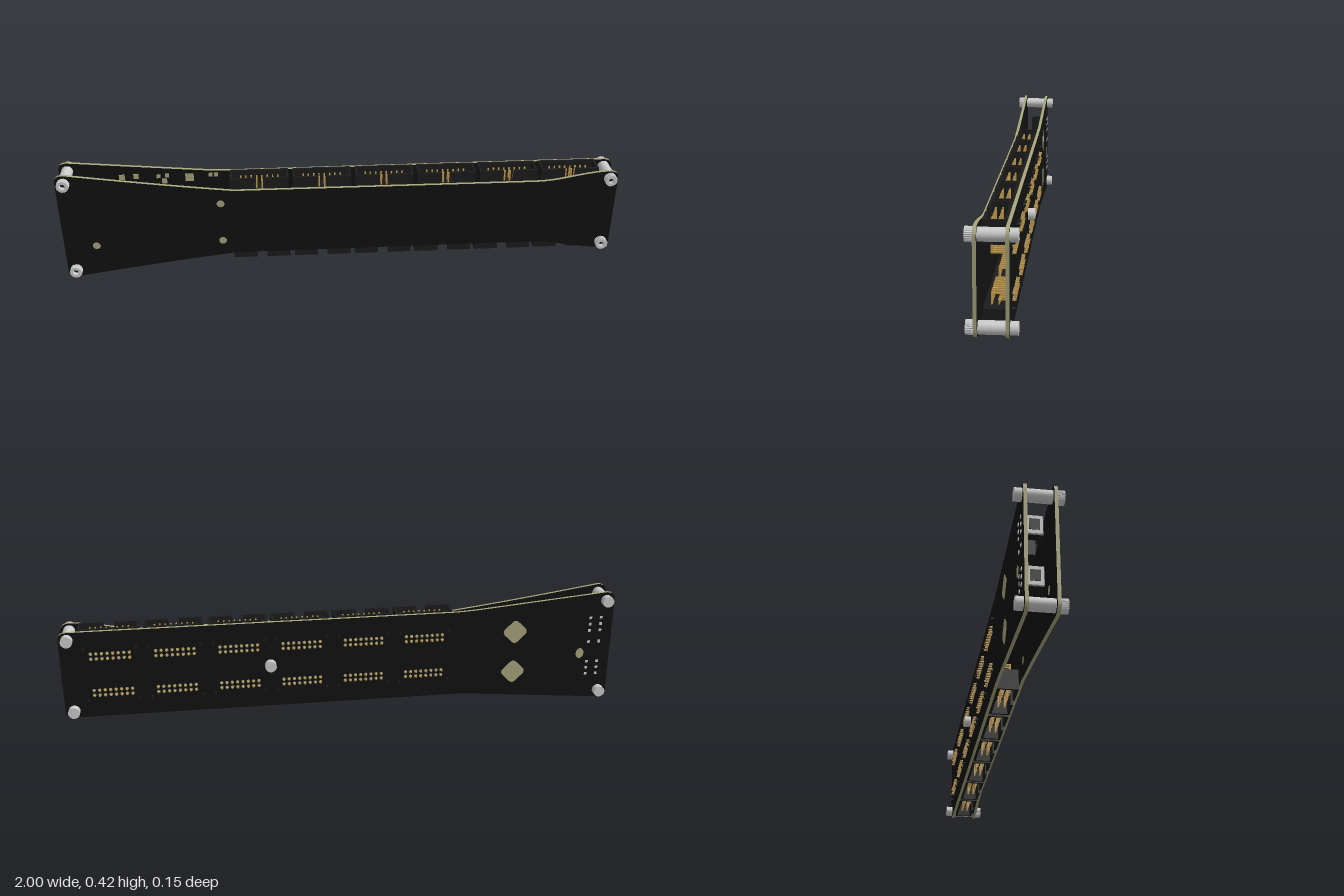
import * as THREE from 'three';

const C = 0.211; // height of the lengthwise centre line
const mat = (color) => new THREE.MeshStandardMaterial({ color });
const black = mat(0x111111), plastic = mat(0x1c1c1c), edge = mat(0xa8a67c);
const gold = mat(0xc8a050), pad = mat(0xa8a67c), grey = mat(0xcccccc);

function add(parent, name, geometry, material, x = 0, y = 0, z = 0) {
  const m = new THREE.Mesh(geometry, material);
  m.name = name;
  m.position.set(x, y, z);
  parent.add(m);
  return m;
}

// Box given by its limits on each axis
function box(parent, name, material, x0, x1, y0, y1, z0, z1) {
  return add(parent, name, new THREE.BoxGeometry(x1 - x0, y1 - y0, z1 - z0), material,
    (x0 + x1) / 2, (y0 + y1) / 2, (z0 + z1) / 2);
}

// Cylinder along z from z0 to z1
function rod(parent, name, material, r, z0, z1, x, y, sides = 24) {
  const g = new THREE.CylinderGeometry(r, r, z1 - z0, sides).rotateX(Math.PI / 2);
  return add(parent, name, g, material, x, y, (z0 + z1) / 2);
}

// Circuit board: the upper edge is sampled, then mirrored for the lower edge
function board(parent, name, waisted, z0) {
  const path = new THREE.Path();
  path.moveTo(-1, 0.15);
  path.lineTo(-1, 0.182);
  path.quadraticCurveTo(-1, 0.211, -0.968, 0.211);
  if (waisted) {
    path.quadraticCurveTo(-0.6, 0.155, -0.38, 0.13);
    path.lineTo(0.7, 0.128);
    path.bezierCurveTo(0.8, 0.128, 0.86, 0.158, 0.965, 0.162);
  } else {
    path.lineTo(-0.5, 0.168);
    path.quadraticCurveTo(-0.43, 0.162, -0.38, 0.162);
    path.lineTo(0.968, 0.162);
  }
  path.quadraticCurveTo(1, 0.162, 1, 0.13);
  const top = path.getPoints(12);
  const low = top.map((p) => new THREE.Vector2(p.x, -p.y)).reverse();
  const g = new THREE.ExtrudeGeometry(new THREE.Shape([...top, ...low]),
    { depth: 0.011, bevelEnabled: false });
  add(parent, name, g, [black, edge], 0, C, z0);
}

// Angled box header with two rows of bent pins; its opening faces outward
function header(parent, x, flip) {
  const h = new THREE.Group();
  h.name = 'pinHeader';
  h.position.set(x, C, 0);
  if (flip) h.rotation.z = Math.PI;
  const w = 0.104, y0 = 0.094, y1 = 0.166, z0 = -0.039, z1 = 0.031, t = 0.008;
  box(h, 'headerFloor', plastic, -w, w, y0, y0 + 0.02, z0, z1);
  box(h, 'headerBackWall', plastic, -w, w, y0, y1, z0, z0 + t);
  for (const s of [-1, 1]) {
    const a = Math.min(s * w, s * (w - t)), b = Math.min(s * w, s * 0.018);
    box(h, 'headerEndWall', plastic, a, a + t, y0, y1, z0, z1);
    box(h, 'headerFrontWall', plastic, b, b + w - 0.018, y0, y1, z1 - t, z1);
    rod(h, 'headerPeg', plastic, 0.005, -0.06, -0.04, s * 0.09, 0.097, 10);
  }
  const p = 0.0025;
  for (let i = 0; i < 8; i++) {
    const px = (i - 3.5) * 0.019;
    for (const [py, bend] of [[0.06, 0.009], [0.079, -0.012]]) {
      box(h, 'pinTail', gold, px - p, px + p, py - p, py + p, -0.061, bend + p);
      box(h, 'pinBlade', gold, px - p, px + p, py - p, 0.155, bend - p, bend + p);
      rod(h, 'pinPad', pad, 0.0062, -0.0515, -0.0505, px, py, 8);
    }
  }
  parent.add(h);
}

// Spacer clamped between the boards by a knurled socket-head screw
function standoff(parent, x, y) {
  const s = new THREE.Group();
  s.name = 'standoff';
  s.position.set(x, y, 0);
  rod(s, 'spacer', grey, 0.0205, -0.074, 0.058, 0, 0);
  const ring = (n, radius) => Array.from({ length: n }, (_, i) => {
    const a = (i / n) * Math.PI * 2;
    return new THREE.Vector2(Math.cos(a), Math.sin(a)).multiplyScalar(radius(i));
  });
  const shape = new THREE.Shape(ring(48, (i) => (i % 2 ? 0.0205 : 0.022)));
  shape.holes.push(new THREE.Path(ring(6, () => 0.0115)));
  const g = new THREE.ExtrudeGeometry(shape, { depth: 0.024, bevelEnabled: false });
  add(s, 'screwHead', g, grey, 0, 0, 0.051);
  rod(s, 'screwSocket', plastic, 0.011, 0.058, 0.059, 0, 0, 6);
  parent.add(s);
}

export function createModel() {
  const model = new THREE.Group();
  model.name = 'stackedBoards';
  board(model, 'frontBoard', true, 0.04);
  board(model, 'backBoard', false, -0.0505);

  for (const s of [-1, 1]) {
    standoff(model, -0.969, C + s * 0.18);
    standoff(model, 0.969, C + s * 0.135);
    for (let i = 0; i < 6; i++) header(model, -0.29 + i * 0.2235, s < 0);
  }

  // Plated spots on the front board
  for (const [x, y] of [[-0.43, 0.29], [-0.43, 0.135], [-0.885, 0.13]])
    rod(model, 'frontSpot', pad, 0.014, 0.0395, 0.0515, x, y);

  // Centre bolt: chamfered hex head inside, round end behind
  const bolt = new THREE.LatheGeometry([[0, -0.015], [0.026, -0.015], [0.034, -0.008], [0.034, 0.015]]
    .map(([r, y]) => new THREE.Vector2(r, -y)).reverse(), 6).toNonIndexed();
  bolt.rotateX(Math.PI / 2);
  bolt.computeVertexNormals();
  add(model, 'boltHead', bolt, grey, 0.27, C, -0.025);
  rod(model, 'boltEnd', grey, 0.0205, -0.074, -0.03, 0.27, C);

  // Rounded diamond pads and a small oval pad on the back
  const d = new THREE.Shape();
  const r = 0.05, k = 0.013;
  d.moveTo(r - k, -k);
  for (let i = 0; i < 4; i++) {
    const a = (i * Math.PI) / 2, c = Math.cos(a), s = Math.sin(a);
    const turn = (x, y) => [x * c - y * s, x * s + y * c];
    d.quadraticCurveTo(...turn(r, 0), ...turn(r - k, k));
    d.lineTo(...turn(k, r - k));
  }
  const diamond = new THREE.ExtrudeGeometry(d, { depth: 0.001, bevelEnabled: false });
  for (const y of [0.285, 0.127]) add(model, 'diamondPad', diamond, pad, -0.63, y, -0.0513);
  rod(model, 'ovalPad', pad, 0.02, -0.0513, -0.05, -0.885, 0.185).scale.x = 0.75;

  // Sockets on the narrow end: two metal-faced, one low in the middle
  for (const y of [0.3, 0.13]) {
    box(model, 'endSocket', plastic, -0.955, -0.91, y - 0.033, y + 0.033, -0.04, 0.015);
    box(model, 'socketFace', grey, -0.96, -0.952, y - 0.03, y + 0.03, -0.037, 0.012);
    box(model, 'socketOpening', black, -0.962, -0.958, y - 0.018, y + 0.018, -0.028, 0.003);
  }
  box(model, 'middleSocket', plastic, -0.975, -0.92, C - 0.024, C + 0.024, -0.04, -0.014);

  // Solder points behind the end sockets
  for (const y of [0.325, 0.3, 0.275, 0.23, 0.15, 0.125, 0.1])
    for (const x of [-0.955, -0.915])
      box(model, 'solderPoint', grey, x - 0.005, x + 0.005, y - 0.005, y + 0.005, -0.053, -0.05);

  // Small surface parts on the inner face of the back board
  for (const [x, y, s] of [[-0.78, 0.36, 0.01], [-0.73, 0.362, 0.009], [-0.65, 0.36, 0.007],
    [-0.62, 0.362, 0.007], [-0.63, 0.34, 0.009], [-0.54, 0.352, 0.015], [-0.465, 0.36, 0.007],
    [-0.445, 0.36, 0.007], [-0.56, 0.065, 0.007], [-0.45, 0.066, 0.007]])
    box(model, 'surfacePart', pad, x - s, x + s, y - s, y + s, -0.04, -0.036);

  return model;
}
